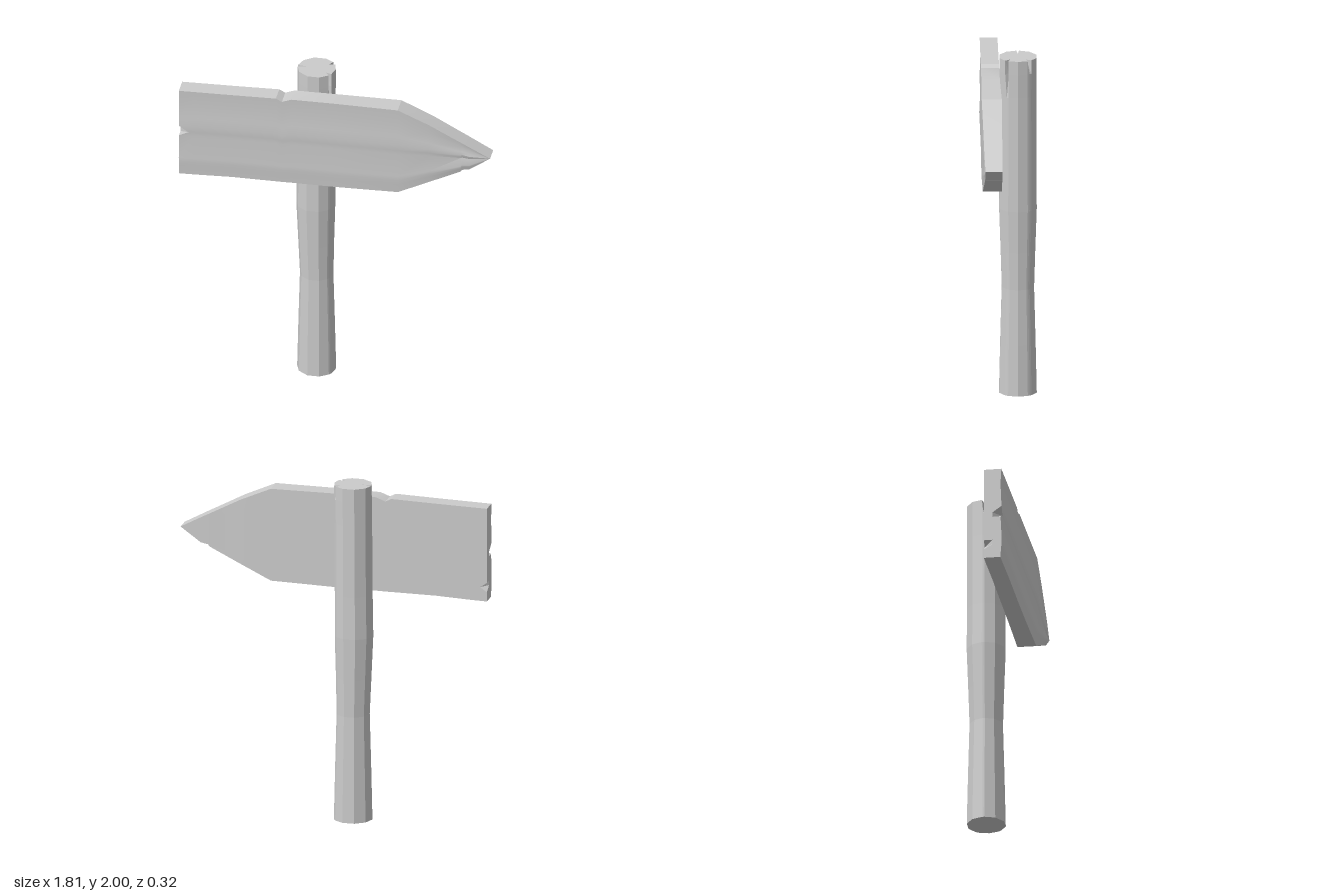
import * as THREE from 'three';
import { toCreasedNormals } from 'three/addons/utils/BufferGeometryUtils.js';

// Skin a series of equal-length closed loops of [x, y, z] points.
function loft(rings) {
  const n = rings[0].length, index = [];
  for (let i = 0; i < rings.length - 1; i++) {
    for (let j = 0; j < n; j++) {
      const a = i * n + j, b = i * n + (j + 1) % n;
      index.push(a, a + n, b + n, a, b + n, b);
    }
  }
  const geo = new THREE.BufferGeometry();
  geo.setAttribute('position', new THREE.Float32BufferAttribute(rings.flat(2), 3));
  geo.setIndex(index);
  return geo;
}

// Ten-sided, slightly crooked post with drying cracks in its top.
function createPost() {
  // corner number -> crack depth, length and half-width
  const cracks = {
    1: { depth: 0.035, length: 0.22, half: 0.1 },
    5: { depth: 0.06, length: 0.08, half: 0.07 },
    9: { depth: 0.035, length: 0.06, half: 0.12 },
  };
  // y, radius, centre x, centre z
  const levels = [
    [0, 0.113, -0.142, -0.055], [0.3, 0.106, -0.142, -0.055], [0.63, 0.097, -0.142, -0.055],
    [0.85, 0.104, -0.145, -0.055], [1.1, 0.113, -0.147, -0.055], [1.35, 0.111, -0.145, -0.055],
    [1.78, 0.11, -0.143, -0.055], [1.92, 0.111, -0.142, -0.055], [2, 0.111, -0.142, -0.055],
  ];
  const rings = levels.map(([y, r, cx, cz]) => {
    const ring = [];
    const add = (angle, radius) =>
      ring.push([cx + radius * Math.cos(angle), y, cz + radius * Math.sin(angle)]);
    for (let k = 0; k < 10; k++) {
      const angle = k * Math.PI / 5, c = cracks[k];
      if (!c) { add(angle, r); continue; }
      const open = Math.max(0, 1 - (2 - y) / c.length);
      add(angle - c.half, r);
      add(angle, r - c.depth * open);
      add(angle + c.half, r);
    }
    return ring;
  });
  // closing points at both ends
  const n = rings[0].length;
  const point = (y) => Array.from({ length: n }, () => [-0.142, y, -0.055]);
  return loft([point(0), ...rings, point(2)]);
}

// Arrow-shaped plank, built from upright sections running from the butt end to the tip.
function createBoard() {
  // x, bottom y, top y, back z, front z
  const sections = [
    [-0.905, 1.325, 1.88, 0.05, 0.15], [-0.82, 1.327, 1.882, 0.05, 0.15],
    [-0.6, 1.336, 1.887, 0.05, 0.151], [-0.34, 1.337, 1.894, 0.05, 0.152],
    [-0.305, 1.337, 1.876, 0.05, 0.152], [-0.25, 1.338, 1.897, 0.05, 0.152],
    [0, 1.34, 1.9, 0.05, 0.154], [0.37, 1.35, 1.9, 0.045, 0.158],
    [0.55, 1.436, 1.82, 0.046, 0.154], [0.734, 1.525, 1.722, 0.048, 0.15],
    [0.742, 1.537, 1.718, 0.048, 0.15], [0.785, 1.545, 1.695, 0.049, 0.149],
    [0.905, 1.63, 1.63, 0.05, 0.146],
  ];
  // height fractions and the gentle relief of the front face
  const rows = [0, 0.1, 0.15, 0.2, 0.46, 0.51, 0.58, 0.68, 0.84, 1];
  const relief = [-0.004, 0, 0.003, 0.004, -0.003, 0, 0.003, 0, -0.003, 0.002];
  const frontChip = 5, backChip = 2;

  const rings = sections.map(([x, y0, y1, zb, zf], i) => {
    const fade = i === sections.length - 1 ? 0 : 1;
    const at = (j) => y0 + (y1 - y0) * rows[j];
    const front = rows.map((v, j) =>
      [i === 0 && j === frontChip ? -0.85 : x, at(j), zf + relief[j] * fade]);
    const back = rows.map((v, j) =>
      [i === 0 && j === backChip ? -0.865 : x, at(j), zb]);
    return [...front, ...back.reverse()];
  });
  // close the butt end along its middle line
  const butt = rings[0].map(([, y]) => [-0.905, y, 0.1]);
  return toCreasedNormals(loft([butt, ...rings]), 0.4);
}

export function createModel() {
  const group = new THREE.Group();
  group.name = 'signpost';

  const post = new THREE.Mesh(createPost(),
    new THREE.MeshStandardMaterial({ color: 0xcccccc, flatShading: true }));
  post.name = 'post';

  const board = new THREE.Mesh(createBoard(),
    new THREE.MeshStandardMaterial({ color: 0xcccccc }));
  board.name = 'arrowBoard';

  group.add(post, board);
  return group;
}
